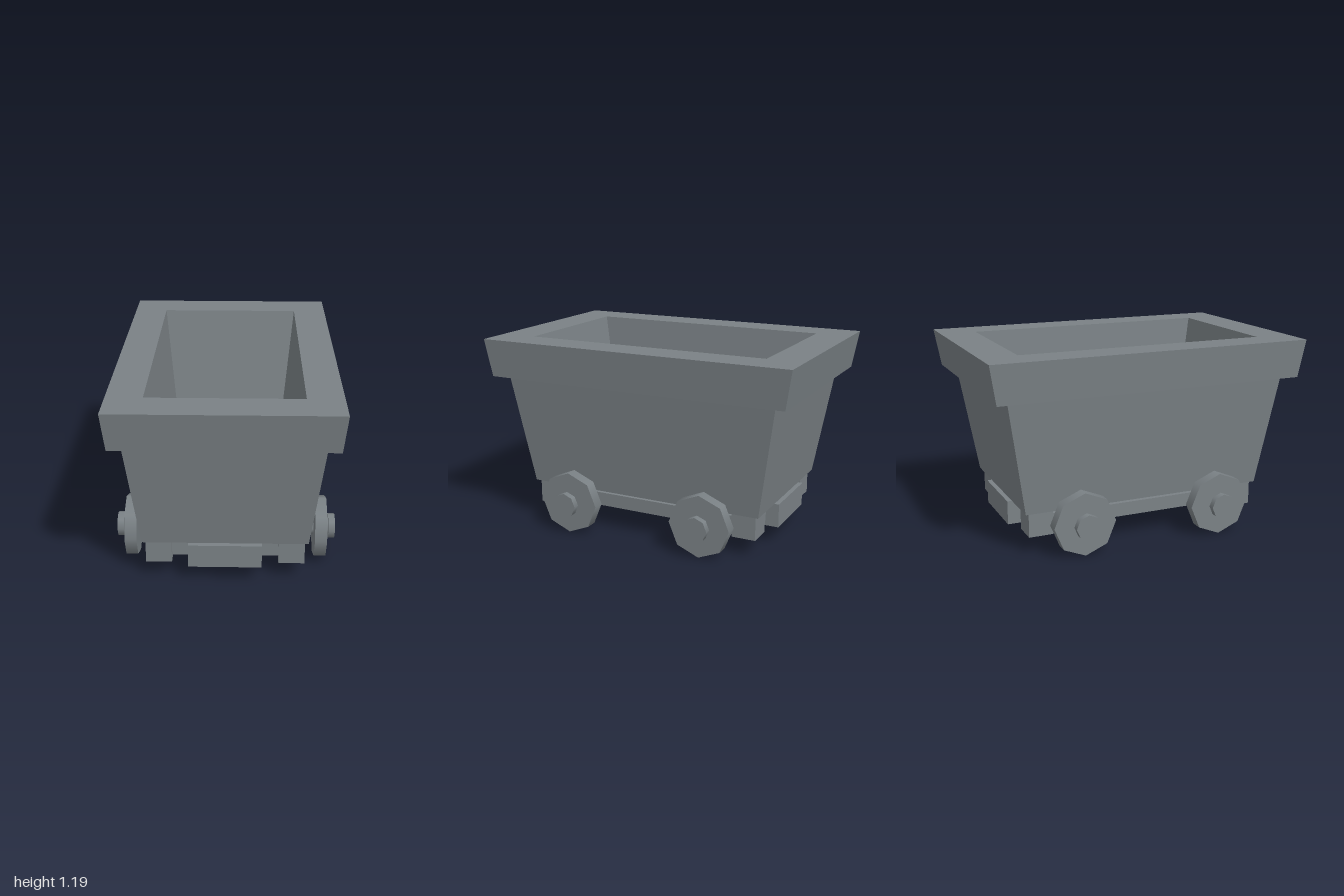
import * as THREE from 'three';

const material = new THREE.MeshStandardMaterial({ color: 0x7a8185 });

function add(parent, name, geometry, x = 0, y = 0, z = 0) {
  const mesh = new THREE.Mesh(geometry, material);
  mesh.name = name;
  mesh.position.set(x, y, z);
  parent.add(mesh);
  return mesh;
}

// Skin over rectangular rings [halfWidth, y, halfLength], closed at both ends
function rectLoft(rings) {
  const corners = rings.map(([x, y, z]) => [[-x, y, z], [x, y, z], [x, y, -z], [-x, y, -z]]);
  const positions = [];
  const quad = (a, b, c, d) => positions.push(...a, ...b, ...c, ...a, ...c, ...d);
  for (let r = 0; r < corners.length - 1; r++) {
    for (let i = 0; i < 4; i++) {
      const j = (i + 1) % 4;
      quad(corners[r][i], corners[r][j], corners[r + 1][j], corners[r + 1][i]);
    }
  }
  quad(...[...corners[0]].reverse());
  quad(...corners[corners.length - 1]);
  const geometry = new THREE.BufferGeometry();
  geometry.setAttribute('position', new THREE.Float32BufferAttribute(positions, 3));
  geometry.computeVertexNormals();
  return geometry;
}

// Cylinder lying along x
function crossCylinder(radius, length, sides) {
  return new THREE.CylinderGeometry(radius, radius, length, sides).rotateZ(Math.PI / 2);
}

export function createModel() {
  const model = new THREE.Group();
  model.name = 'mineCart';

  // Tub: flared outer walls, overhanging rim, tapered hollow and floor
  add(model, 'tub', rectLoft([
    [0.492, 0.258, 0.768],
    [0.569, 0.954, 0.882],
    [0.635, 0.954, 0.96],
    [0.655, 1.188, 1],
    [0.445, 1.188, 0.775],
    [0.36, 0.33, 0.62],
  ]));

  // Chassis: rails, corner blocks and bumpers
  const chassis = new THREE.Group();
  chassis.name = 'chassis';
  model.add(chassis);
  for (const s of [1, -1]) {
    add(chassis, 'sideRail', new THREE.BoxGeometry(0.085, 0.085, 1.3), s * 0.395, 0.182, 0);
    add(chassis, 'endRail', new THREE.BoxGeometry(0.75, 0.085, 0.085), 0, 0.182, s * 0.67);
    add(chassis, 'bumper', new THREE.BoxGeometry(0.435, 0.147, 0.15), 0, 0.182, s * 0.72);
    for (const side of [1, -1]) {
      add(chassis, 'cornerBlock', new THREE.BoxGeometry(0.155, 0.147, 0.15), side * 0.395, 0.182, s * 0.67);
    }
  }

  // Wheel sets: axle, two octagonal wheels and hub caps
  for (const s of [1, -1]) {
    const wheelSet = new THREE.Group();
    wheelSet.name = s > 0 ? 'frontWheelSet' : 'backWheelSet';
    wheelSet.position.set(0, 0.193, s * 0.445);
    model.add(wheelSet);
    add(wheelSet, 'axle', crossCylinder(0.055, 1.28, 8));
    for (const side of [1, -1]) {
      add(wheelSet, 'wheel', crossCylinder(0.193, 0.073, 8), side * 0.577);
      add(wheelSet, 'hubCap', crossCylinder(0.077, 0.04, 8), side * 0.65);
    }
  }
  return model;
}
